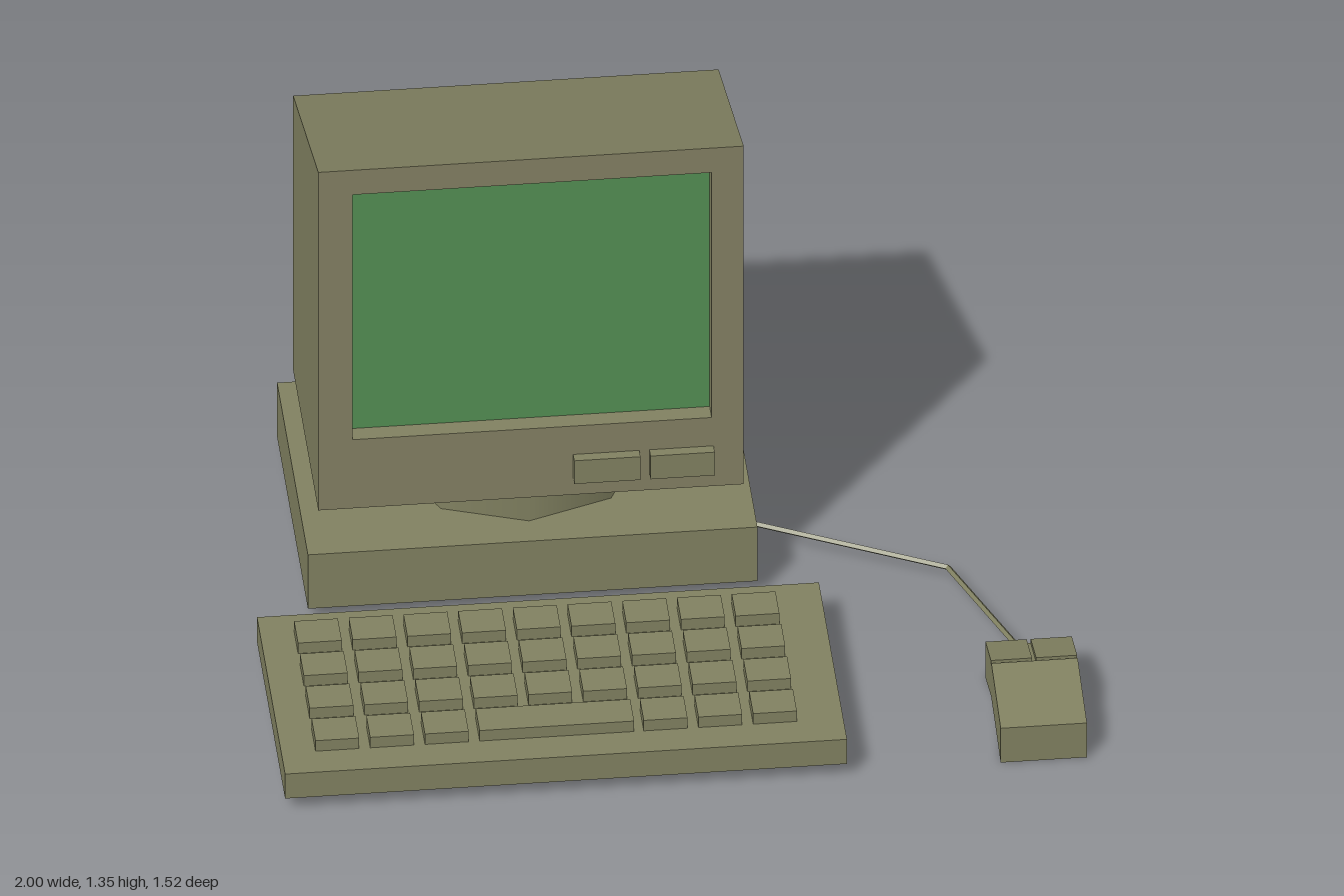
import * as THREE from 'three';

export function createModel() {
  const model = new THREE.Group();
  model.name = 'desktopComputer';

  const material = (name, color) => {
    const m = new THREE.MeshStandardMaterial({ color });
    m.name = name;
    return m;
  };
  const casing = material('olive casing', 0x808060);
  const bezelTone = material('bezel', 0x837f63);
  const glass = material('green screen', 0x538e53);

  const add = (parent, name, geometry, mat = casing) => {
    const mesh = new THREE.Mesh(geometry, mat);
    mesh.name = name;
    parent.add(mesh);
    return mesh;
  };
  const group = (name) => {
    const g = new THREE.Group();
    g.name = name;
    model.add(g);
    return g;
  };
  // Box given by its limits on each axis
  const box = (parent, name, [x0, x1], [y0, y1], [z0, z1], mat) => {
    const g = new THREE.BoxGeometry(x1 - x0, y1 - y0, z1 - z0);
    g.translate((x0 + x1) / 2, (y0 + y1) / 2, (z0 + z1) / 2);
    return add(parent, name, g, mat);
  };
  // Side profile of [z, y] points, swept from x0 to x1
  const sideProfile = (parent, name, points, x0, x1) => {
    const shape = new THREE.Shape(points.map(([z, y]) => new THREE.Vector2(-z, y)));
    const g = new THREE.ExtrudeGeometry(shape, { depth: x1 - x0, bevelEnabled: false });
    g.rotateY(Math.PI / 2).translate(x0, 0, 0);
    return add(parent, name, g);
  };
  const rectangle = (PathType, x0, x1, y0, y1) => new PathType([
    new THREE.Vector2(x0, y0), new THREE.Vector2(x1, y0),
    new THREE.Vector2(x1, y1), new THREE.Vector2(x0, y1),
  ]);

  // System unit and swivel foot
  box(model, 'systemUnit', [-0.86, 0.26], [0.04, 0.205], [-0.76, -0.03]);
  const foot = new THREE.CylinderGeometry(0.3, 0.3, 0.105, 8);
  foot.scale(1, 1, 0.85).translate(-0.3, 0.2575, -0.37);
  add(model, 'swivelFoot', foot);

  // Monitor housing behind the recessed screen
  const monitor = group('monitor');
  const left = -0.83, right = 0.23, bottom = 0.31, top = 1.345;
  const front = -0.07, back = -0.665, recess = 0.05;
  const slope = 0.195 / (front - back);
  const inner = front - recess;
  sideProfile(monitor, 'monitorHousing', [
    [inner, bottom], [inner, top - slope * recess],
    [back, top - slope * (front - back)], [back, bottom],
  ], left, right);

  // Screen frame, its top edge following the sloping roof
  const frameShape = rectangle(THREE.Shape, left, right, bottom, top);
  frameShape.holes.push(rectangle(THREE.Path, -0.745, 0.15, 0.52, 1.27));
  const frame = new THREE.ExtrudeGeometry(frameShape, { depth: recess, bevelEnabled: false });
  frame.translate(0, 0, inner);
  const pos = frame.attributes.position;
  for (let i = 0; i < pos.count; i++) {
    if (pos.getY(i) > 1.3) pos.setY(i, top - slope * (front - pos.getZ(i)));
  }
  frame.computeVertexNormals();
  add(monitor, 'screenFrame', frame, [bezelTone, casing]);
  box(monitor, 'screen', [-0.745, 0.15], [0.52, 1.27], [inner - 0.003, inner + 0.003], glass);

  // Control panels under the screen
  for (const [x0, x1] of [[-0.195, -0.03], [-0.005, 0.155]]) {
    box(monitor, 'controlPanel', [x0, x1], [0.362, 0.433], [front, -0.043]);
  }

  // Keyboard: four rows of nine keys, with a space bar in the front row
  const keyboard = group('keyboard');
  box(keyboard, 'keyboardBase', [-1, 0.4], [0.04, 0.115], [0.095, 0.76]);
  for (let row = 0; row < 4; row++) {
    const z = 0.165 + row * 0.138;
    for (let col = 0; col < 9; col++) {
      if (row === 3 && (col === 4 || col === 5)) continue;
      const space = row === 3 && col === 3;
      const x = -0.915 + col * 0.1363;
      box(keyboard, space ? 'spaceBar' : 'key',
        [x, x + (space ? 0.385 : 0.109)], [0.115, 0.147], [z, z + 0.093]);
    }
  }

  // Mouse: bent body with two buttons separated by grooves
  const mouse = group('mouse');
  sideProfile(mouse, 'mouseBody', [
    [0.74, 0], [0.74, 0.105], [0.52, 0.145], [0.51, 0.133],
    [0.38, 0.098], [0.38, 0], [0.515, 0.04],
  ], 0.785, 1);
  for (const x of [0.785, 0.8975]) {
    sideProfile(mouse, 'mouseButton', [
      [0.508, 0.132], [0.508, 0.145], [0.38, 0.11], [0.38, 0.097],
    ], x, x + 0.1025);
  }

  // Cable from the system unit to the mouse, in two straight runs
  const cable = [[0.25, 0.053, -0.266], [0.735, 0.04, -0.038], [0.89, 0.056, 0.385]]
    .map((p) => new THREE.Vector3(...p));
  for (let i = 0; i < 2; i++) {
    const run = new THREE.LineCurve3(cable[i], cable[i + 1]);
    const g = new THREE.TubeGeometry(run, 1, 0.008, 4).toNonIndexed();
    g.computeVertexNormals();
    add(model, 'mouseCable', g);
  }

  return model;
}
